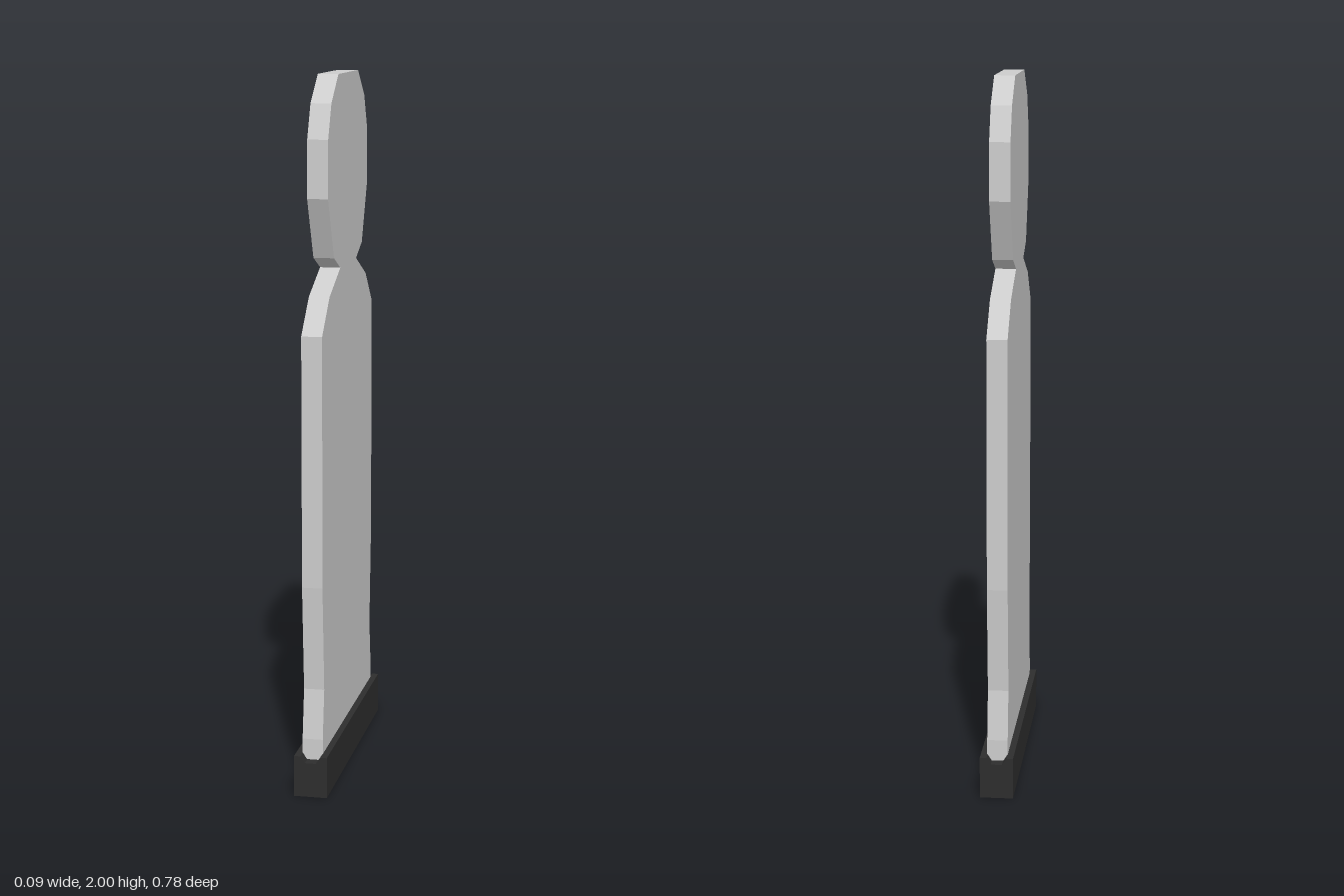
import * as THREE from 'three';

// Extrudes a mirror-symmetric outline; half lists the right side from bottom to top
function symmetricSlab(half, depth) {
  const mirrored = half.filter(([u]) => u > 0).map(([u, v]) => [-u, v]).reverse();
  const shape = new THREE.Shape([...half, ...mirrored].map(([u, v]) => new THREE.Vector2(u, v)));
  const geometry = new THREE.ExtrudeGeometry(shape, { depth, bevelEnabled: false });
  geometry.translate(0, 0, -depth / 2);
  return geometry;
}

export function createModel() {
  const model = new THREE.Group();
  model.name = 'standingSilhouette';

  // Flat head-and-shoulders panel, thin along x
  const panelGeometry = symmetricSlab([
    [0.357, 0.1], [0.357, 0.16], [0.336, 0.3], [0.358, 0.6], [0.358, 1.305],
    [0.26, 1.4], [0.113, 1.463], [0.2, 1.5],
    [0.279, 1.67], [0.276, 1.83], [0.233, 1.925], [0.139, 2],
  ], 0.058);
  panelGeometry.rotateY(Math.PI / 2);
  const panel = new THREE.Mesh(panelGeometry,
    new THREE.MeshStandardMaterial({ color: 0xcccccc, flatShading: true }));
  panel.name = 'silhouettePanel';

  // Dark foot rail with a tapered slot along its top
  const rail = new THREE.Mesh(
    symmetricSlab([[0.047, 0], [0.047, 0.118], [0.028, 0.118], [0.016, 0.099]], 0.776),
    new THREE.MeshStandardMaterial({ color: 0x2d2d2d, flatShading: true }));
  rail.name = 'footRail';

  model.add(panel, rail);
  return model;
}
